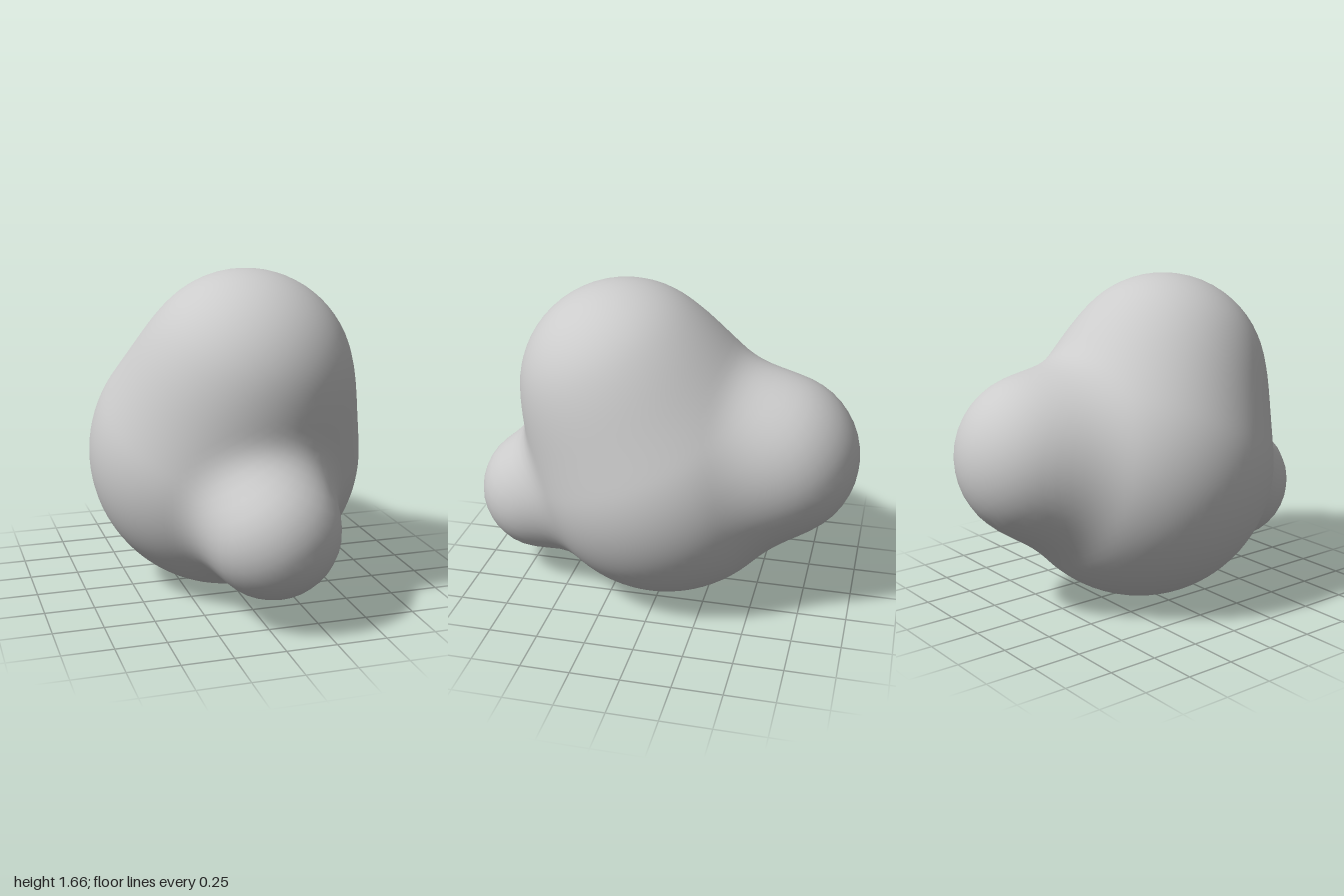
import * as THREE from 'three';
import { mergeVertices } from 'three/addons/utils/BufferGeometryUtils.js';

// The lobes that melt together: centre x, y, z and radius
const lobes = [
  [0, 0.7, 0, 0.7],           // main belly
  [0.05, 1.12, 0.2, 0.54],    // upper bulge
  [0.06, 0.81, -0.58, 0.42],  // rear bulge
  [0.04, 0.47, 0.67, 0.33],   // front bulge
].map(([x, y, z, radius]) => ({ centre: new THREE.Vector3(x, y, z), radius }));

const BLEND = 0.17;

// Smooth minimum, which rounds the creases between lobes
function blend(a, b) {
  const h = Math.max(BLEND - Math.abs(a - b), 0) / BLEND;
  return Math.min(a, b) - h * h * BLEND / 4;
}

function distanceTo(p) {
  return lobes.map(l => p.distanceTo(l.centre) - l.radius).reduce(blend);
}

// Shrink-wrap a sphere onto the blended lobes
function blobGeometry() {
  let geometry = new THREE.IcosahedronGeometry(1, 17);
  geometry.deleteAttribute('uv');
  geometry.deleteAttribute('normal');
  geometry = mergeVertices(geometry, 1e-4);

  const origin = new THREE.Vector3(0.03, 0.74, 0.05);
  const pos = geometry.attributes.position;
  const dir = new THREE.Vector3();
  const p = new THREE.Vector3();
  for (let i = 0; i < pos.count; i++) {
    dir.fromBufferAttribute(pos, i).normalize();
    let t = 1.6;
    for (let step = 0; step < 80; step++) {
      const d = distanceTo(p.copy(origin).addScaledVector(dir, t));
      t -= d;
      if (Math.abs(d) < 1e-4) break;
    }
    p.copy(origin).addScaledVector(dir, t);
    pos.setXYZ(i, p.x, p.y, p.z);
  }
  geometry.computeVertexNormals();
  return geometry;
}

export function createModel() {
  const group = new THREE.Group();
  group.name = 'blob';
  const body = new THREE.Mesh(
    blobGeometry(),
    new THREE.MeshStandardMaterial({ color: 0xcccccc })
  );
  body.name = 'blobBody';
  group.add(body);
  return group;
}
